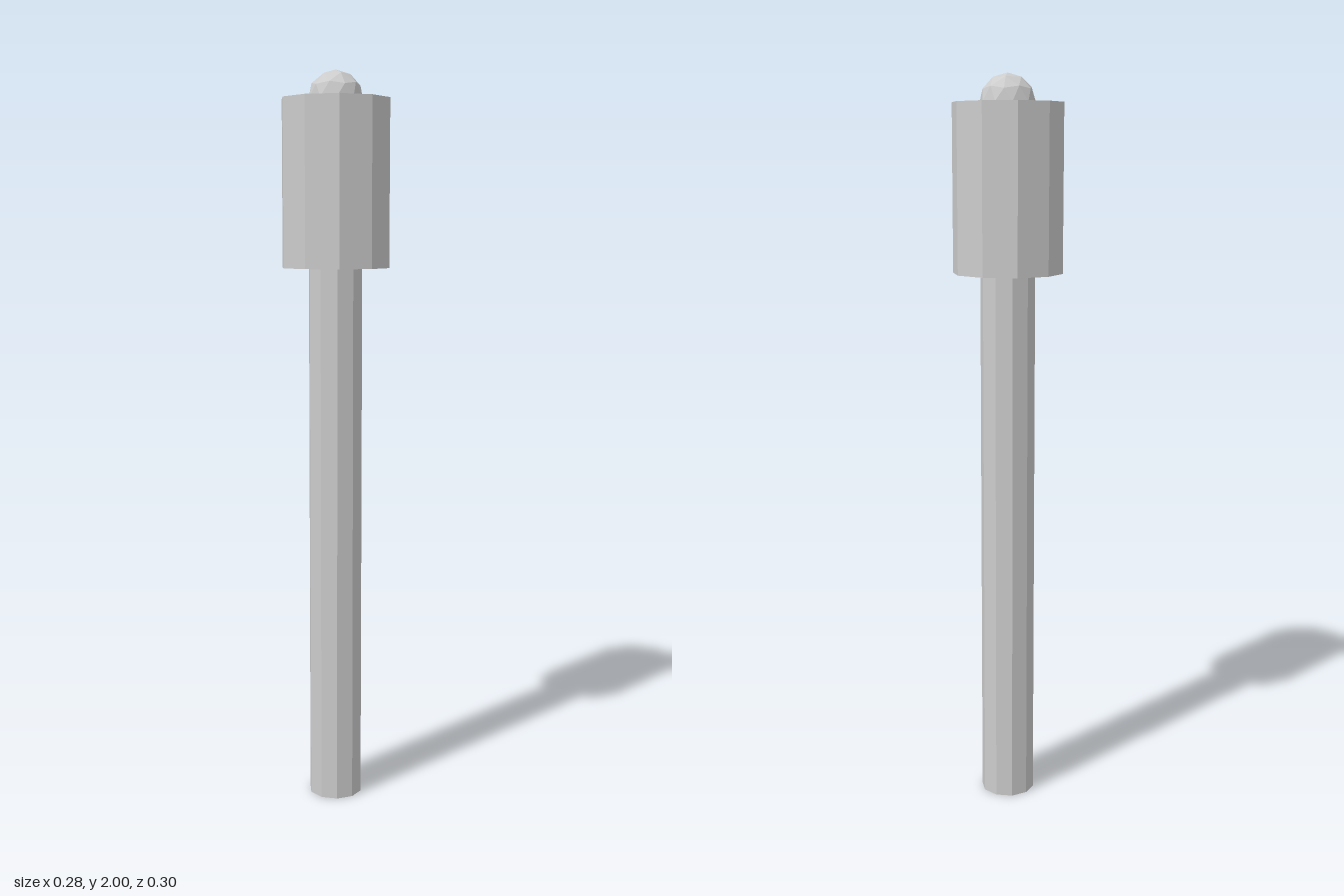
import * as THREE from 'three';

export function createModel() {
  const group = new THREE.Group();
  const material = new THREE.MeshStandardMaterial({ color: 0xcccccc, flatShading: true });
  const shaftRadius = 0.074, headRadius = 0.148;
  const headBottom = 1.483, headTop = 1.926;

  function add(name, geometry, y) {
    const mesh = new THREE.Mesh(geometry, material);
    mesh.name = name;
    mesh.position.y = y;
    group.add(mesh);
  }

  // Ten-sided upright prism between two heights
  function prism(name, radius, y0, y1) {
    add(name, new THREE.CylinderGeometry(radius, radius, y1 - y0, 10), (y0 + y1) / 2);
  }

  prism('shaft', shaftRadius, 0, headBottom);
  prism('head', headRadius, headBottom, headTop);

  // Faceted ball half sunk into the head, turned so one corner points straight up
  const ball = new THREE.IcosahedronGeometry(shaftRadius, 1);
  ball.rotateZ(-Math.atan(2 / (1 + Math.sqrt(5))));
  add('tipBall', ball, headTop);

  return group;
}
